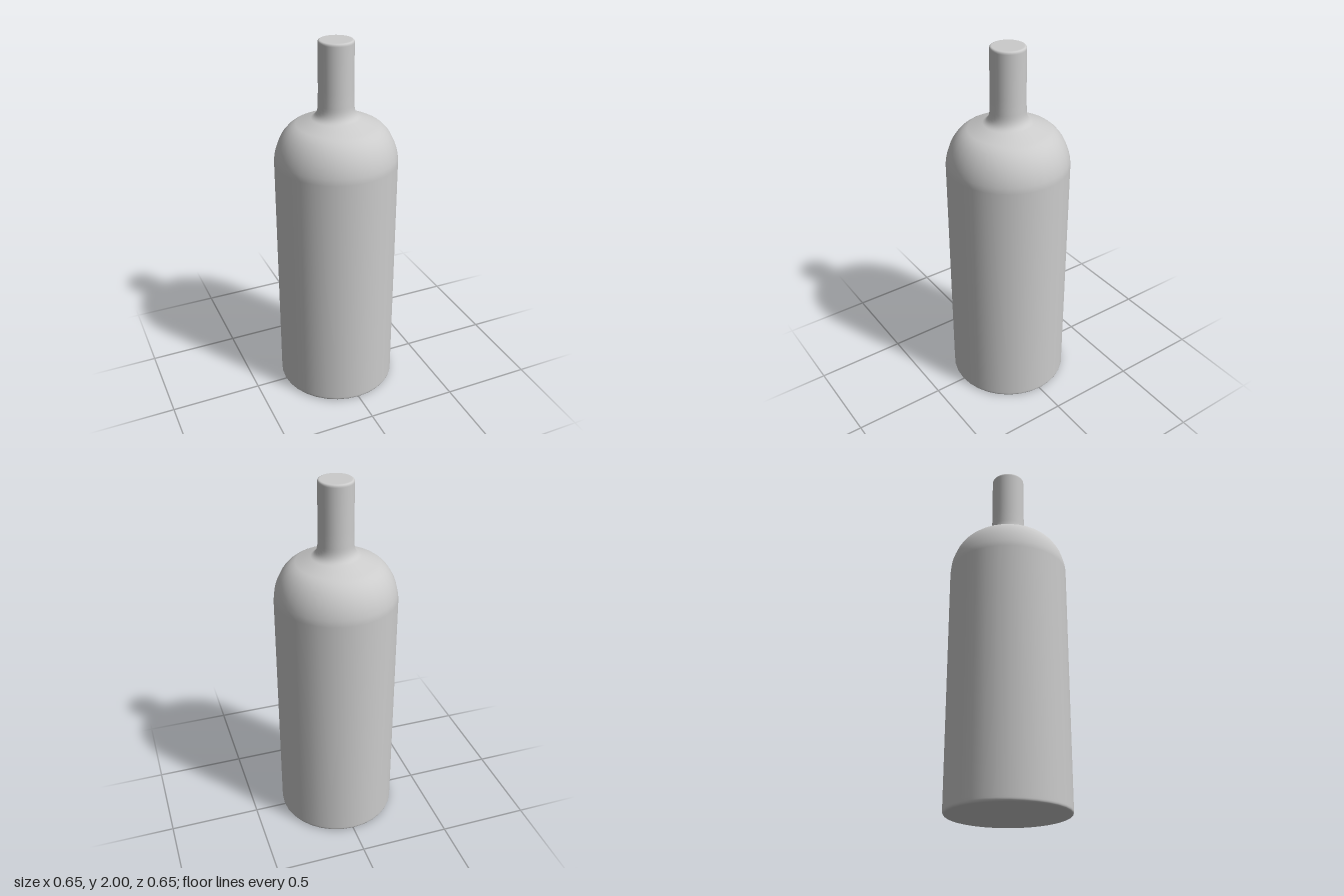
import * as THREE from 'three';

export function createModel() {
  const group = new THREE.Group();
  group.name = 'bottle';
  const profile = new THREE.Path();

  // flat base with a small rounded rim
  profile.moveTo(0, 0);
  profile.lineTo(0.305, 0);
  profile.lineTo(0.312, 0);
  profile.quadraticCurveTo(0.327, 0, 0.327, 0.018);
  // straight body wall
  profile.lineTo(0.327, 0.03);
  profile.lineTo(0.327, 1.36);
  // rounded shoulder
  profile.bezierCurveTo(0.322, 1.45, 0.275, 1.54, 0.21, 1.565);
  // shallow slope, then a fillet into the neck
  profile.lineTo(0.13, 1.597);
  profile.bezierCurveTo(0.108, 1.606, 0.094, 1.625, 0.094, 1.67);
  // neck and closed top with a rounded edge
  profile.lineTo(0.092, 1.75);
  profile.lineTo(0.092, 1.985);
  profile.quadraticCurveTo(0.092, 2, 0.08, 2);
  profile.lineTo(0.076, 2);
  profile.lineTo(0, 2);

  const geometry = new THREE.LatheGeometry(profile.getPoints(8), 32);
  const material = new THREE.MeshStandardMaterial({ color: 0xcccccc });
  const body = new THREE.Mesh(geometry, material);
  body.name = 'bottleBodyAndNeck';
  group.add(body);
  return group;
}
